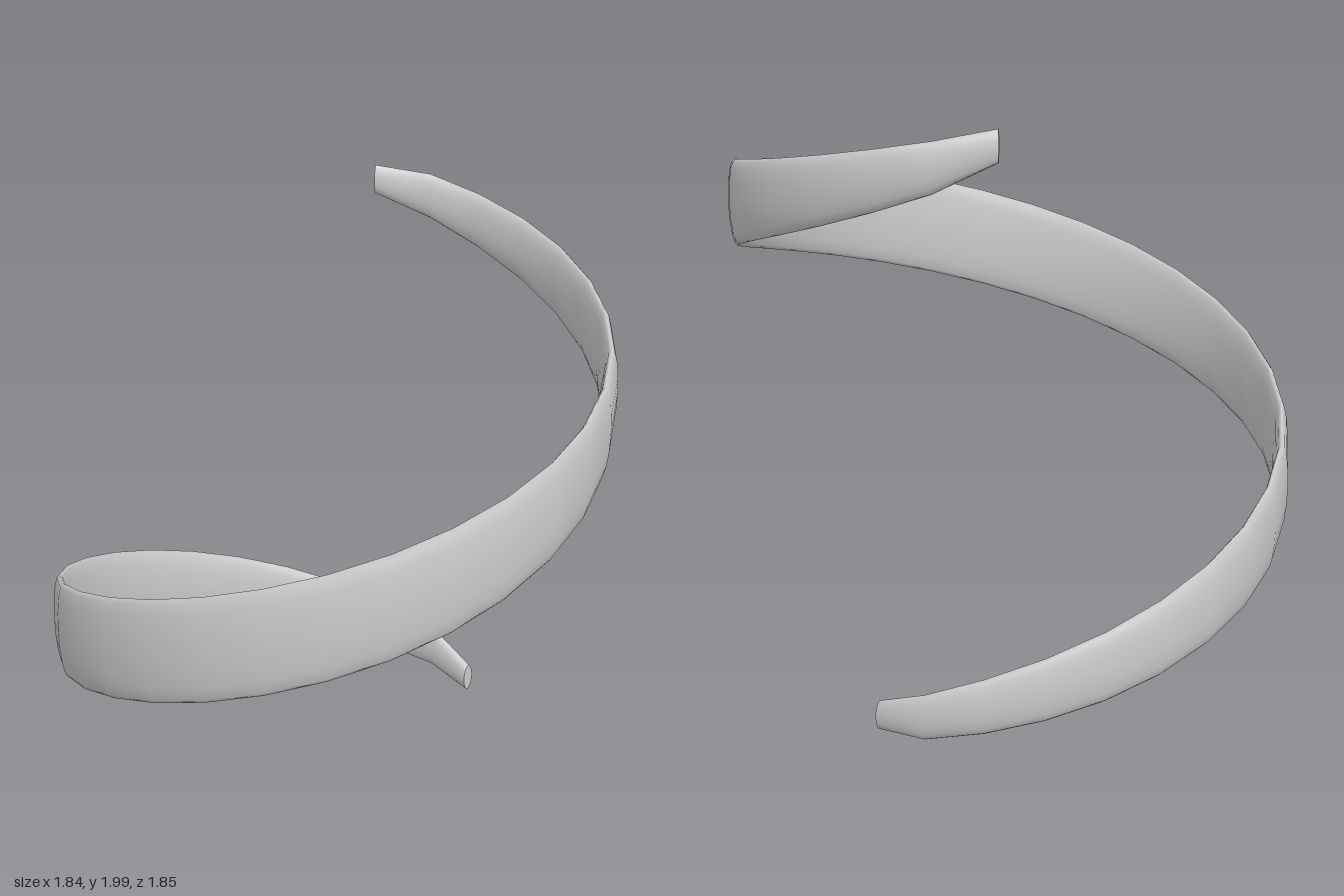
import * as THREE from 'three';

const STEPS = 32, SIDES = 16;
const START = THREE.MathUtils.degToRad(29.6), END = THREE.MathUtils.degToRad(416.8);
const RISE = 0.44 / (Math.PI / 2); // climb per radian
const HALF_THICKNESS = 0.026;

// One elliptical section of the ribbon: tall in the middle, narrow and tucked inward at the ends
function section(i) {
  const t = i / STEPS;
  const angle = START + (END - START) * t;
  const atEnd = i === 0 || i === STEPS;
  const radius = atEnd ? 0.846 : 0.897;
  const swell = Math.pow(Math.max(0, Math.sin(Math.PI * t)), 0.66);
  const halfHeight = (0.1 + 0.262 * swell) / 2;
  const y = 1 + RISE * (angle - (START + END) / 2);
  const at = (r, h) => new THREE.Vector3(r * Math.cos(angle), h, -r * Math.sin(angle));
  const ring = [];
  for (let j = 0; j < SIDES; j++) {
    const p = (j / SIDES) * Math.PI * 2;
    ring.push(at(radius + HALF_THICKNESS * Math.cos(p), y + halfHeight * Math.sin(p)));
  }
  return { ring, centre: at(radius, y) };
}

function build(points, index) {
  const geometry = new THREE.BufferGeometry().setFromPoints(points);
  geometry.setIndex(index);
  geometry.computeVertexNormals();
  return geometry;
}

// Smooth skin running along all sections
function ribbonGeometry() {
  const points = [], index = [];
  for (let i = 0; i <= STEPS; i++) points.push(...section(i).ring);
  for (let i = 0; i < STEPS; i++) {
    for (let j = 0; j < SIDES; j++) {
      const k = (j + 1) % SIDES;
      const a = i * SIDES + j, b = a + SIDES, c = i * SIDES + k, d = c + SIDES;
      index.push(a, b, c, b, d, c);
    }
  }
  return build(points, index);
}

// Flat cap closing one end
function capGeometry(i) {
  const { ring, centre } = section(i);
  const index = [];
  for (let j = 0; j < SIDES; j++) {
    const k = (j + 1) % SIDES;
    if (i === 0) index.push(SIDES, j, k);
    else index.push(SIDES, k, j);
  }
  return build([...ring, centre], index);
}

export function createModel() {
  const group = new THREE.Group();
  group.name = 'spiralRibbon';
  const grey = new THREE.MeshStandardMaterial({ color: 0xcccccc });
  grey.name = 'light grey';
  const add = (name, geometry) => {
    const mesh = new THREE.Mesh(geometry, grey);
    mesh.name = name;
    group.add(mesh);
  };
  add('ribbon', ribbonGeometry());
  add('lowerEndCap', capGeometry(0));
  add('upperEndCap', capGeometry(STEPS));
  return group;
}
